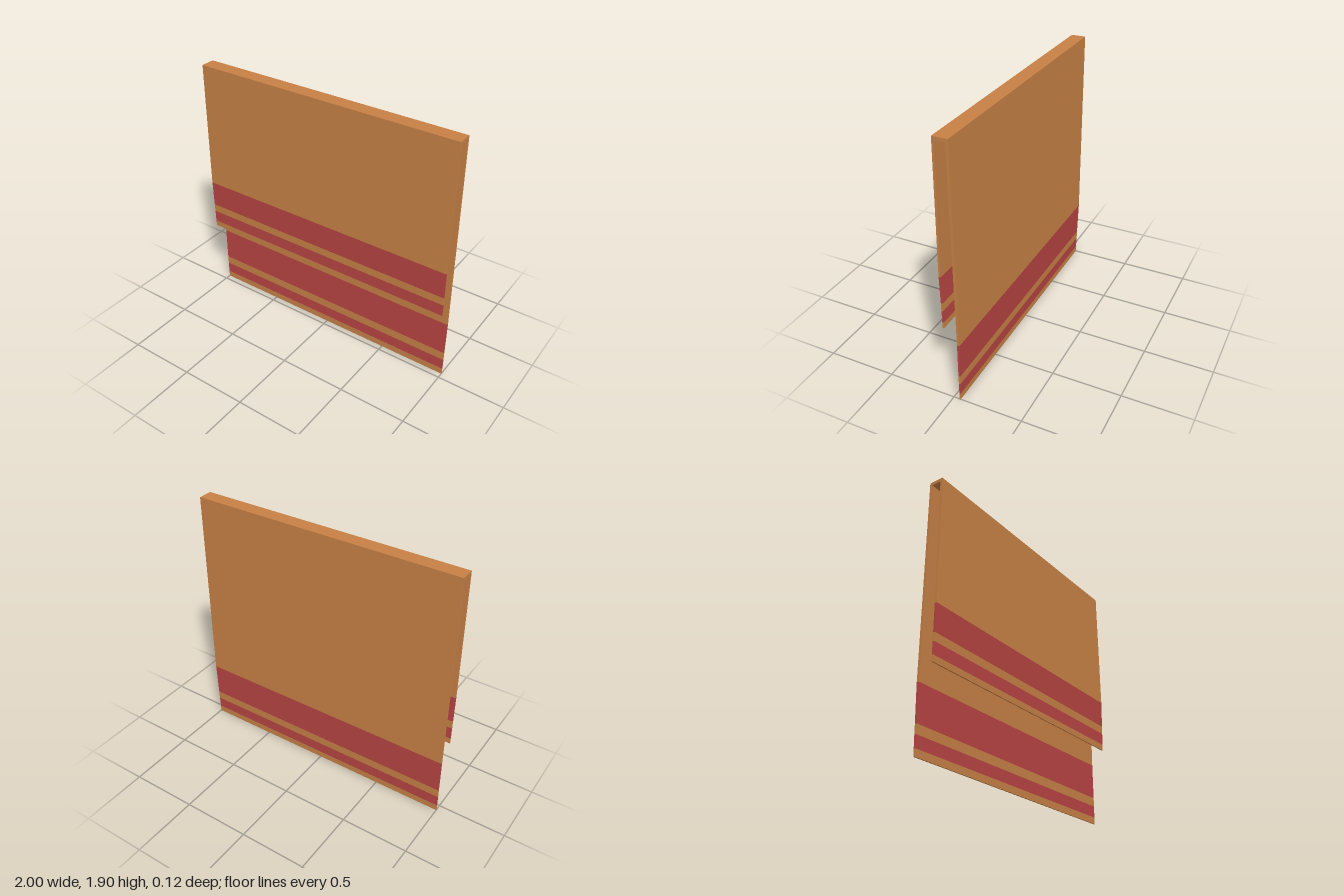
import * as THREE from 'three';

const W = 1; // half width of the cloth

// Cloth cross-section from the front hem, over the fold, to the back hem:
// [name of the following band, is red, outer z, outer y, inner z, inner y]
const SECTIONS = [
  ['frontHem', false, 0.055, 0.565, 0.046, 0.565],
  ['frontNarrowStripe', true, 0.056, 0.61, 0.046, 0.61],
  ['frontGap', false, 0.057, 0.7, 0.046, 0.7],
  ['frontWideStripe', true, 0.058, 0.76, 0.046, 0.76],
  ['frontPanel', false, 0.062, 0.96, 0.046, 0.96],
  ['topFold', false, 0.053, 1.905, 0.037, 1.882],
  ['backPanel', false, -0.053, 1.905, -0.035, 1.882],
  ['backWideStripe', true, -0.062, 0.46, -0.044, 0.46],
  ['backGap', false, -0.056, 0.2, -0.043, 0.2],
  ['backNarrowStripe', true, -0.055, 0.135, -0.043, 0.135],
  ['backHem', false, -0.053, 0.05, -0.043, 0.05],
  [null, false, -0.052, 0, -0.043, 0],
];

export function createModel() {
  const tan = new THREE.MeshStandardMaterial({ color: 0xc68045 });
  tan.name = 'tan cloth';
  const red = new THREE.MeshStandardMaterial({ color: 0xb74442 });
  red.name = 'red stripe';

  const group = new THREE.Group();
  group.name = 'foldedTowel';

  const corners = (s) => ({
    outerL: [W, s[3], s[2]], outerR: [-W, s[3], s[2]],
    innerL: [W, s[5], s[4]], innerR: [-W, s[5], s[4]],
  });

  const last = SECTIONS.length - 2;
  for (let i = 0; i <= last; i++) {
    const [name, isRed] = SECTIONS[i];
    const a = corners(SECTIONS[i]);
    const b = corners(SECTIONS[i + 1]);
    const pos = [];
    const quad = (p, q, r, s) => pos.push(...p, ...q, ...r, ...p, ...r, ...s);

    quad(a.outerR, a.outerL, b.outerL, b.outerR); // outside
    quad(a.innerL, a.innerR, b.innerR, b.innerL); // inside
    quad(a.outerL, a.innerL, b.innerL, b.outerL); // left edge
    quad(a.innerR, a.outerR, b.outerR, b.innerR); // right edge
    // hem ends
    if (i === 0) quad(a.innerR, a.innerL, a.outerL, a.outerR);
    if (i === last) quad(b.outerR, b.outerL, b.innerL, b.innerR);

    const geometry = new THREE.BufferGeometry();
    geometry.setAttribute('position', new THREE.Float32BufferAttribute(pos, 3));
    geometry.computeVertexNormals();
    const mesh = new THREE.Mesh(geometry, isRed ? red : tan);
    mesh.name = name;
    group.add(mesh);
  }
  return group;
}
